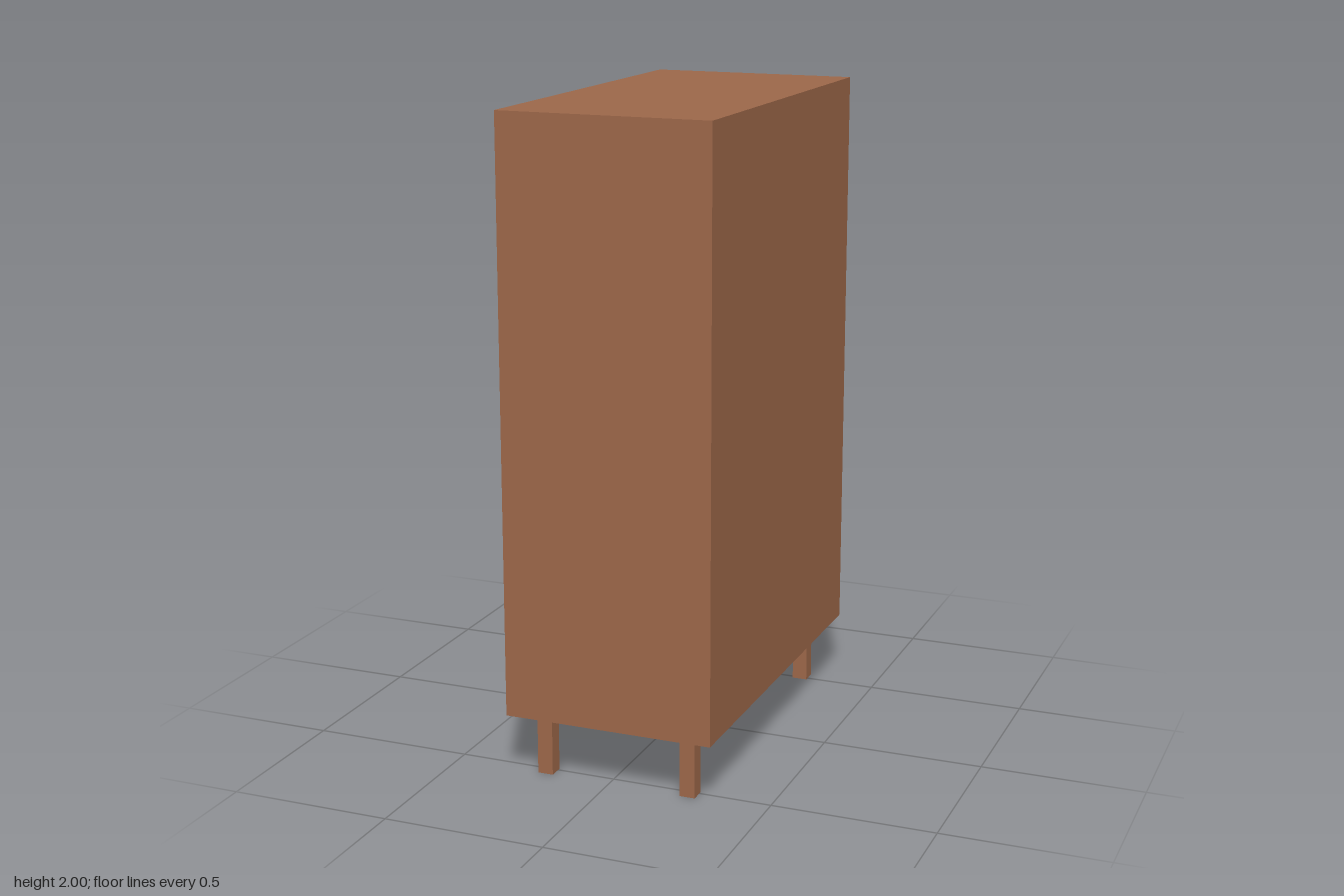
import * as THREE from 'three';

export function createModel() {
  const group = new THREE.Group();
  const wood = new THREE.MeshStandardMaterial({ color: 0x9c6749 });
  const grey = new THREE.MeshStandardMaterial({ color: 0xcccccc });

  // Box given by its lower and upper corners
  function box(name, material, [x0, y0, z0], [x1, y1, z1]) {
    const mesh = new THREE.Mesh(new THREE.BoxGeometry(x1 - x0, y1 - y0, z1 - z0), material);
    mesh.position.set((x0 + x1) / 2, (y0 + y1) / 2, (z0 + z1) / 2);
    mesh.name = name;
    group.add(mesh);
  }

  const face = -0.302; // doors and drawers open towards -x
  box('cabinetBody', wood, [-0.3, 0.2, -0.608], [0.35, 2, 0.608]);

  // Two doors above two drawers, nearly flush with the frame
  const panel = (name, y0, y1, z0, z1) => box(name, grey, [face, y0, z0], [-0.29, y1, z1]);
  panel('rearDoor', 0.825, 1.955, -0.563, 0);
  panel('frontDoor', 0.825, 1.955, 0, 0.563);
  panel('lowerDrawer', 0.24, 0.485, -0.563, 0.563);
  panel('upperDrawer', 0.485, 0.73, -0.563, 0.563);

  // Square knobs
  const r = 0.024;
  for (const [name, y, z] of [
    ['rearDoorKnob', 1.394, -0.136], ['frontDoorKnob', 1.394, 0.132],
    ['upperDrawerKnob', 0.615, -0.002], ['lowerDrawerKnob', 0.37, -0.002],
  ]) box(name, wood, [-0.352, y - r, z - r], [-0.3, y + r, z + r]);

  // Legs
  for (const x of [-0.207, 0.252])
    for (const z of [-0.511, 0.515])
      box('leg', wood, [x - r, 0, z - r], [x + r, 0.2, z + r]);

  return group;
}
